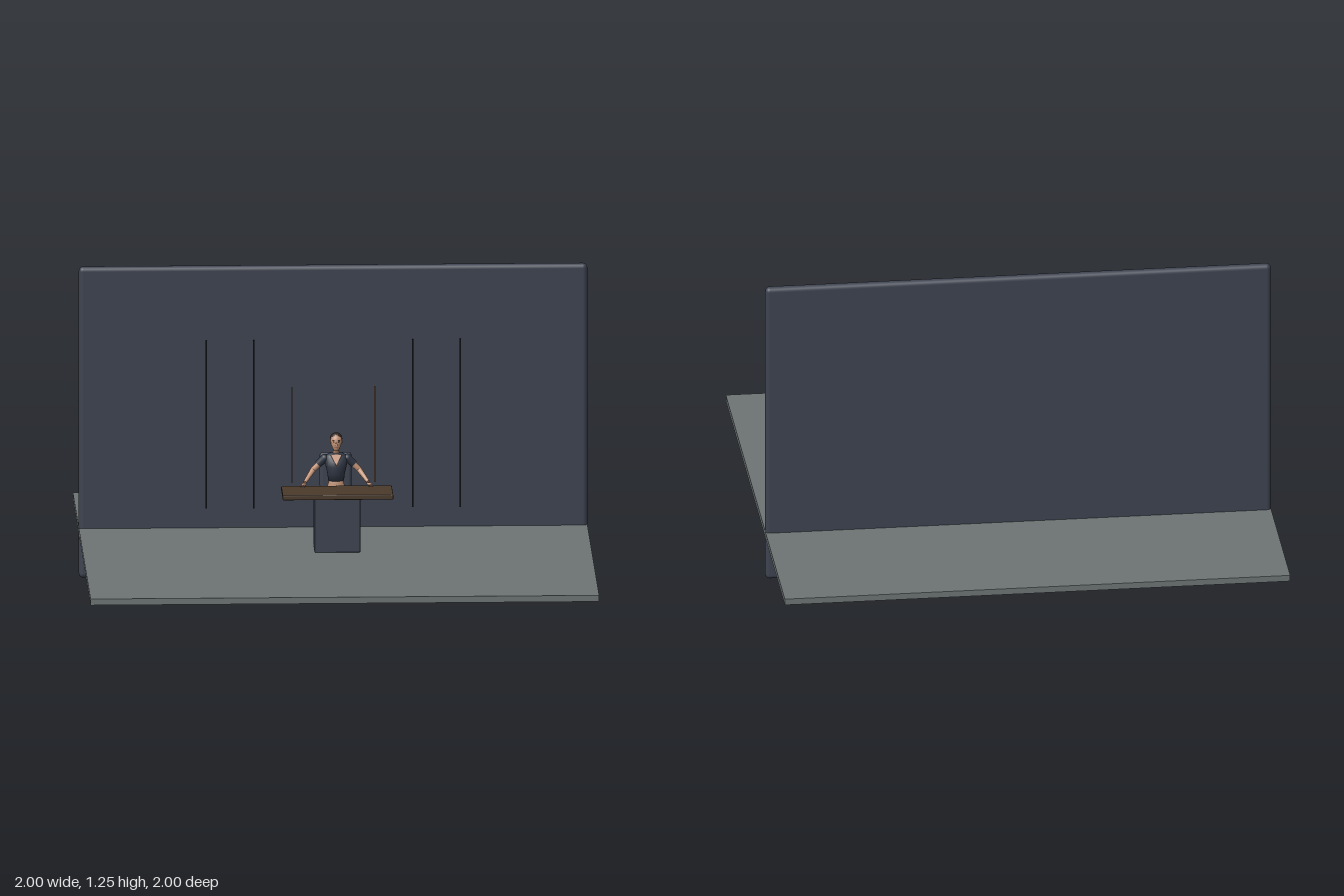
import * as THREE from 'three';
import { RoundedBoxGeometry } from 'three/addons/geometries/RoundedBoxGeometry.js';

const paint = (name, color) => {
  const m = new THREE.MeshStandardMaterial({ color });
  m.name = name;
  return m;
};

// Closed smooth body through horizontal ellipses [x, y, z, rx, rz], listed from bottom to top
function loft(rings, sides = 20) {
  const pos = [], index = [];
  const all = [[...rings[0].slice(0, 3), 0, 0], ...rings, [...rings[rings.length - 1].slice(0, 3), 0, 0]];
  all.forEach(([x, y, z, rx, rz], r) => {
    for (let i = 0; i < sides; i++) {
      const a = (i / sides) * Math.PI * 2;
      pos.push(x + Math.sin(a) * rx, y, z + Math.cos(a) * rz);
      if (r === 0) continue;
      const j = (i + 1) % sides, lo = (r - 1) * sides, hi = r * sides;
      index.push(lo + i, lo + j, hi + j, lo + i, hi + j, hi + i);
    }
  });
  const g = new THREE.BufferGeometry();
  g.setAttribute('position', new THREE.Float32BufferAttribute(pos, 3));
  g.setIndex(index);
  g.computeVertexNormals();
  return g;
}

export function createModel() {
  const model = new THREE.Group();
  const slate = paint('slate panel', 0x3d4350);
  const stone = paint('stone floor', 0x6d7474);
  const wood = paint('dark wood', 0x4a3a2b);
  const black = paint('black trim', 0x15181d);
  const bronze = paint('bronze trim', 0x6a5442);
  const skin = paint('skin', 0xc39478);
  const cloth = paint('navy cloth', 0x2f3643);
  const hair = paint('brown hair', 0x30231c);
  const lips = paint('lips', 0x8f4a42);

  const add = (parent, name, geometry, material, x = 0, y = 0, z = 0) => {
    const m = new THREE.Mesh(geometry, material);
    m.name = name;
    m.position.set(x, y, z);
    parent.add(m);
    return m;
  };
  const box = (w, h, d, r) => (r ? new RoundedBoxGeometry(w, h, d, 3, r) : new THREE.BoxGeometry(w, h, d));
  const ball = (parent, name, mat, x, y, z, rx, ry, rz) => {
    const m = add(parent, name, new THREE.SphereGeometry(1, 20, 14), mat, x, y, z);
    m.scale.set(rx, ry, rz);
    return m;
  };
  // Tapered limb between two points
  const limb = (parent, name, mat, a, b, ra, rb) => {
    const p = new THREE.Vector3(...a), q = new THREE.Vector3(...b), d = q.clone().sub(p);
    const m = add(parent, name, new THREE.CylinderGeometry(rb, ra, d.length(), 14), mat);
    m.position.copy(p).add(q).multiplyScalar(0.5);
    m.quaternion.setFromUnitVectors(new THREE.Vector3(0, 1, 0), d.normalize());
  };

  // Room
  add(model, 'floor', box(2, 0.025, 2), stone, 0, 0.1875, 0);
  add(model, 'backWall', box(2, 1.25, 0.038, 0.018), slate, 0, 0.625, -0.337);
  for (const x of [-0.5, -0.313, 0.313, 0.5])
    add(model, 'wallStrip', box(0.006, 0.675, 0.008), black, x, 0.617, -0.31);
  for (const x of [-0.163, 0.163])
    add(model, 'hangingStrip', box(0.005, 0.385, 0.005), bronze, x, 0.578, -0.288);

  // Desk
  add(model, 'deskTop', box(0.435, 0.02, 0.18, 0.004), wood, 0, 0.436, 0.144);
  add(model, 'deskPedestal', box(0.18, 0.226, 0.125, 0.004), slate, 0, 0.313, 0.102);

  // Chair
  add(model, 'chairSeat', box(0.125, 0.022, 0.125, 0.009), slate, 0, 0.409, -0.028);
  add(model, 'chairBack', box(0.125, 0.145, 0.028, 0.013), slate, 0, 0.485, -0.054);

  // Person behind the desk
  const person = new THREE.Group();
  person.name = 'person';
  model.add(person);

  add(person, 'waist', loft([
    [0, 0.4, 0.008, 0.036, 0.026], [0, 0.425, 0.008, 0.037, 0.027],
    [0, 0.45, 0.01, 0.03, 0.021], [0, 0.47, 0.01, 0.028, 0.02],
  ]), skin);
  add(person, 'shorts', loft([
    [0, 0.392, 0.008, 0.035, 0.026], [0, 0.405, 0.008, 0.039, 0.029], [0, 0.418, 0.008, 0.039, 0.029],
  ]), cloth);
  add(person, 'shirt', loft([
    [0, 0.458, 0.01, 0.031, 0.023], [0, 0.485, 0.011, 0.034, 0.026], [0, 0.515, 0.013, 0.041, 0.031],
    [0, 0.54, 0.008, 0.046, 0.027], [0, 0.557, 0.004, 0.044, 0.021], [0, 0.568, 0.002, 0.024, 0.015],
  ]), cloth);
  add(person, 'neck', loft([[0, 0.555, 0.002, 0.014, 0.013], [0, 0.572, 0.005, 0.011, 0.011], [0, 0.595, 0.009, 0.011, 0.011]]), skin);

  // Open neckline laid on the chest
  const vee = new THREE.Shape();
  vee.moveTo(0, -0.024);
  vee.lineTo(0.022, 0.02);
  vee.quadraticCurveTo(0, 0.027, -0.022, 0.02);
  vee.closePath();
  const neckline = add(person, 'neckline',
    new THREE.ExtrudeGeometry(vee, { depth: 0.006, bevelEnabled: false }), skin, 0, 0.543, 0.033);
  neckline.rotation.x = -0.42;

  // Legs, arms and hands, mirrored
  for (const s of [-1, 1]) {
    add(person, 'leg', loft([
      [s * 0.02, 0.205, 0.008, 0.01, 0.011], [s * 0.02, 0.225, 0.006, 0.009, 0.01],
      [s * 0.021, 0.265, 0.004, 0.014, 0.016], [s * 0.02, 0.3, 0.01, 0.013, 0.014],
      [s * 0.02, 0.345, 0.01, 0.017, 0.019], [s * 0.019, 0.395, 0.009, 0.019, 0.024],
    ]), skin);
    ball(person, 'foot', skin, s * 0.021, 0.207, 0.015, 0.011, 0.007, 0.022);

    const shoulder = [s * 0.045, 0.546, 0.004], cuff = [s * 0.07, 0.522, 0.002];
    const elbow = [s * 0.09, 0.5, 0.004], wrist = [s * 0.124, 0.46, 0.052];
    ball(person, 'shoulder', cloth, ...shoulder, 0.017, 0.017, 0.017);
    limb(person, 'sleeve', cloth, shoulder, cuff, 0.017, 0.015);
    limb(person, 'upperArm', skin, shoulder, elbow, 0.013, 0.011);
    ball(person, 'elbow', skin, ...elbow, 0.011, 0.011, 0.011);
    limb(person, 'forearm', skin, elbow, wrist, 0.011, 0.007);
    const hand = ball(person, 'hand', skin, s * 0.129, 0.453, 0.062, 0.009, 0.006, 0.015);
    hand.rotation.y = s * 0.4;
    for (let i = -1; i <= 1; i++)
      limb(person, 'finger', skin, [s * 0.131 + i * 0.005, 0.453, 0.066],
        [s * 0.134 + i * 0.007, 0.449, 0.08], 0.0025, 0.002);
  }

  // Head and face
  const head = new THREE.Group();
  head.name = 'head';
  person.add(head);
  add(head, 'face', loft([
    [0, 0.579, 0.022, 0.007, 0.009], [0, 0.588, 0.019, 0.014, 0.018], [0, 0.604, 0.016, 0.02, 0.024],
    [0, 0.62, 0.015, 0.022, 0.026], [0, 0.634, 0.013, 0.02, 0.023], [0, 0.644, 0.011, 0.012, 0.015],
  ]), skin);
  limb(head, 'nose', skin, [0, 0.604, 0.041], [0, 0.617, 0.039], 0.0045, 0.002);
  ball(head, 'mouth', lips, 0, 0.595, 0.036, 0.007, 0.0025, 0.003);
  for (const s of [-1, 1]) {
    ball(head, 'eye', black, s * 0.009, 0.617, 0.038, 0.004, 0.002, 0.002);
    ball(head, 'eyebrow', hair, s * 0.009, 0.623, 0.037, 0.006, 0.0012, 0.002);
    ball(head, 'ear', skin, s * 0.022, 0.613, 0.012, 0.003, 0.007, 0.005);
  }

  // Hair cap tilted back, and a ponytail
  const cap = ball(head, 'hairCap', hair, 0, 0.624, 0.008, 0.0245, 0.0255, 0.027);
  cap.geometry = new THREE.SphereGeometry(1, 20, 12, 0, Math.PI * 2, 0, Math.PI * 0.52);
  cap.rotation.x = -0.6;
  ball(head, 'backHair', hair, 0, 0.615, 0.003, 0.021, 0.024, 0.021);
  ball(head, 'hairTie', black, 0, 0.631, -0.019, 0.007, 0.007, 0.005);
  add(head, 'ponytail', loft([
    [0, 0.558, -0.027, 0.002, 0.002], [0, 0.575, -0.03, 0.008, 0.008], [0, 0.598, -0.031, 0.012, 0.01],
    [0, 0.62, -0.028, 0.011, 0.01], [0, 0.635, -0.023, 0.006, 0.007],
  ], 14), hair);

  return model;
}
